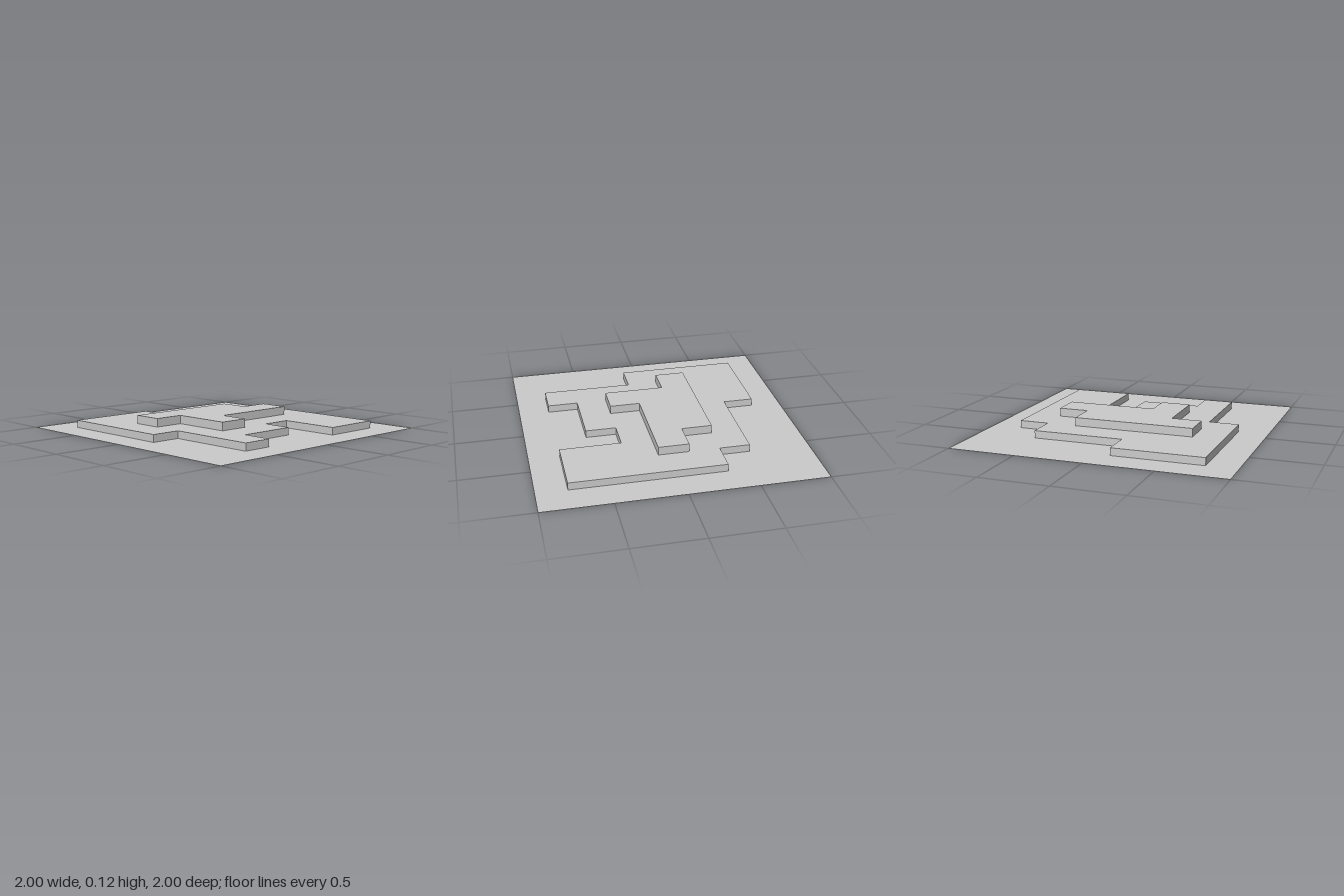
import * as THREE from 'three';
import { mergeGeometries } from 'three/addons/utils/BufferGeometryUtils.js';

const CELL = 2 / 9; // the plan is a 9 x 9 grid of cells
const HEIGHTS = [0, 0.055, 0.117];

// Plan outlines in cells, [x, z], clockwise seen from above
const OUTLINES = [
  [[-4.5, -4.5], [4.5, -4.5], [4.5, 4.5], [-4.5, 4.5]],
  [[-1.5, -3.5], [3.5, -3.5], [3.5, -1.5], [1.5, -1.5], [1.5, -0.5], [2.5, -0.5], [2.5, 1.5], [3.5, 1.5],
    [3.5, 2.5], [0.5, 2.5], [0.5, 3.5], [-3.5, 3.5], [-3.5, 0.5], [-2.5, 0.5], [-2.5, -2.5], [-1.5, -2.5]],
  [[-0.5, -2.5], [0.5, -2.5], [0.5, 0.5], [1.5, 0.5], [1.5, 1.5], [-0.5, 1.5],
    [-0.5, 2.5], [-1.5, 2.5], [-1.5, -1.5], [-0.5, -1.5]],
].map((outline) => outline.map(([x, z]) => new THREE.Vector2(x * CELL, z * CELL)));

const toPlan = (outline) => outline.map((p) => new THREE.Vector2(p.x, -p.y));

// Flat surface of one level, cut out where the next level rises
function levelSurface(outline, inner, y) {
  const shape = new THREE.Shape(toPlan(outline));
  if (inner) shape.holes.push(new THREE.Path(toPlan(inner)));
  return new THREE.ShapeGeometry(shape).rotateX(-Math.PI / 2).translate(0, y, 0);
}

// Vertical walls along an outline, facing outwards
function stepWalls(outline, y0, y1) {
  return mergeGeometries(outline.map((a, i) => {
    const b = outline[(i + 1) % outline.length];
    return new THREE.PlaneGeometry(a.distanceTo(b), y1 - y0)
      .rotateY(Math.atan2(b.y - a.y, a.x - b.x))
      .translate((a.x + b.x) / 2, (y0 + y1) / 2, (a.y + b.y) / 2);
  }));
}

export function createModel() {
  const group = new THREE.Group();
  group.name = 'steppedTerrain';
  const material = new THREE.MeshStandardMaterial({
    color: 0xcccccc, flatShading: true, side: THREE.DoubleSide,
  });
  const add = (name, geometry) => {
    const mesh = new THREE.Mesh(geometry, material);
    mesh.name = name;
    group.add(mesh);
  };

  // Open-bottomed shell: ground sheet, lower terrace, upper terrace
  ['ground', 'lowerTerrace', 'upperTerrace'].forEach((name, i) => {
    add(`${name}Surface`, levelSurface(OUTLINES[i], OUTLINES[i + 1], HEIGHTS[i]));
    if (i > 0) add(`${name}Walls`, stepWalls(OUTLINES[i], HEIGHTS[i - 1], HEIGHTS[i]));
  });
  return group;
}
